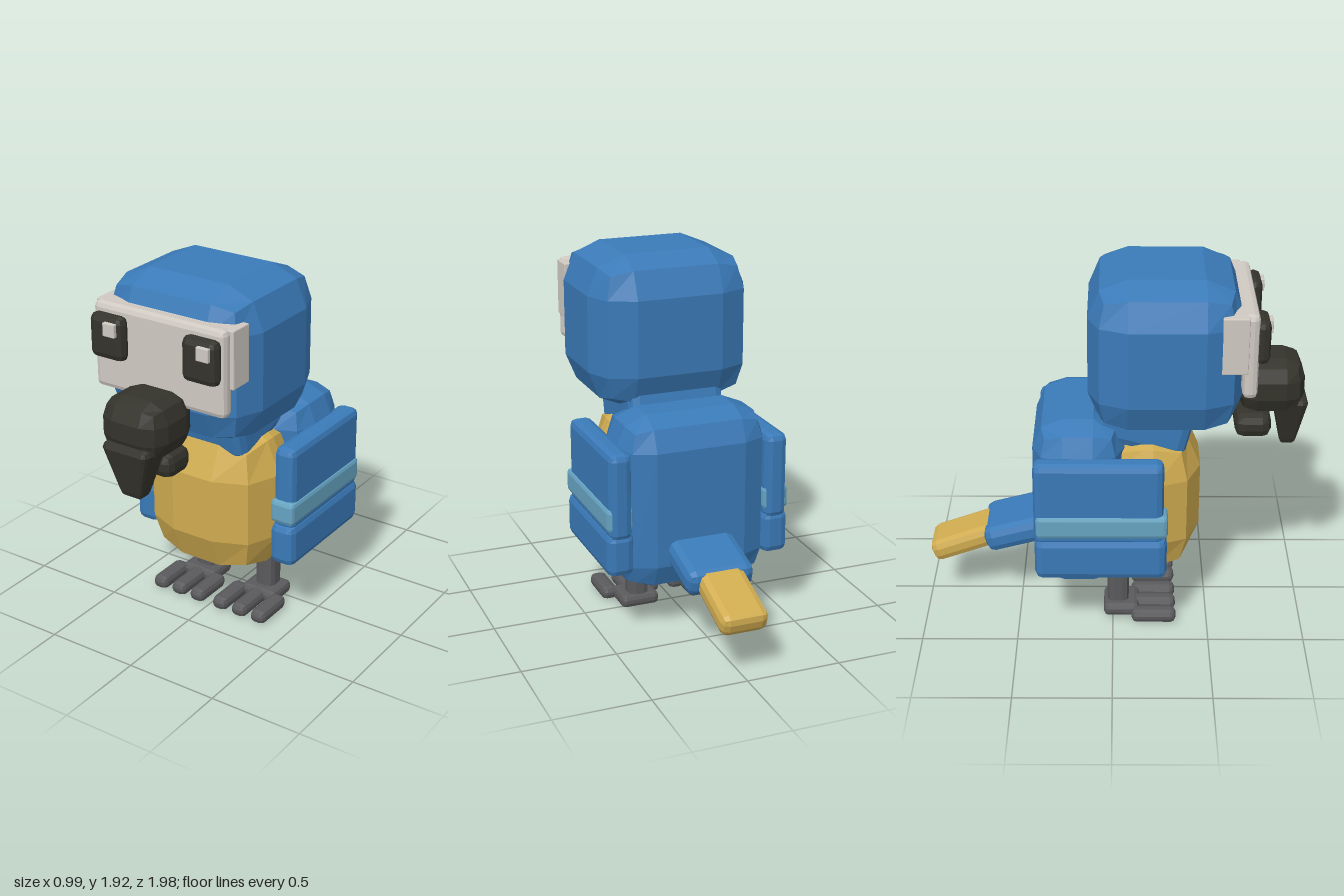
import * as THREE from 'three';
import { RoundedBoxGeometry } from 'three/addons/geometries/RoundedBoxGeometry.js';

const material = (name, color) => {
  const m = new THREE.MeshStandardMaterial({ color });
  m.name = name;
  return m;
};

export function createModel() {
  const model = new THREE.Group();
  model.name = 'bird';
  const blue = material('blue', 0x3a7ab8);
  const yellow = material('yellow', 0xd0ac50);
  const paleBlue = material('paleBlue', 0x66a4c2);
  const black = material('black', 0x34332b);
  const grey = material('lightGrey', 0xcfc9c2);
  const legGrey = material('darkGrey', 0x5a595c);

  // Faceted box from its extents [min, max] on each axis; shape moves vertices
  function block(name, mat, [x0, x1], [y0, y1], [z0, z1], r, shape) {
    const g = new RoundedBoxGeometry(x1 - x0, y1 - y0, z1 - z0, 1, r);
    if (shape) {
      const p = g.attributes.position;
      const v = new THREE.Vector3();
      for (let i = 0; i < p.count; i++) {
        shape(v.fromBufferAttribute(p, i));
        p.setXYZ(i, v.x, v.y, v.z);
      }
    }
    g.computeVertexNormals(); // non-indexed, so every facet is flat
    const mesh = new THREE.Mesh(g, mat);
    mesh.name = name;
    mesh.position.set((x0 + x1) / 2, (y0 + y1) / 2, (z0 + z1) / 2);
    model.add(mesh);
    return mesh;
  }
  const both = (w) => [-w, w];
  const side = (s, a, b) => (s > 0 ? [a, b] : [-b, -a]);

  // Head, neck and body
  block('head', blue, both(0.43), [1.115, 1.917], [-0.127, 0.655], 0.2);
  block('neck', blue, both(0.26), [0.99, 1.25], [-0.1, 0.4], 0.05).rotation.x = 0.25;
  block('back', blue, both(0.4), [0.232, 1.167], [-0.412, 0.06], 0.16);
  block('belly', yellow, both(0.37), [0.245, 1.09], [-0.1, 0.455], 0.25);

  // Face
  block('faceBand', grey, both(0.4), [1.487, 1.783], [0.53, 0.66], 0.005);
  block('facePlate', grey, both(0.382), [1.345, 1.79], [0.637, 0.712], 0.028);
  for (const s of [-1, 1]) {
    block('eye', black, side(s, 0.17, 0.37), [1.52, 1.75], [0.69, 0.768], 0.035);
    const gx = s > 0 ? 0.272 : -0.27;
    block('eyeGlint', grey, [gx, gx + 0.07], [1.653, 1.722], [0.74, 0.785], 0.004);
  }

  // Beak
  block('upperBeak', black, both(0.18), [1.14, 1.433], [0.635, 0.978], 0.1);
  block('beakTip', black, both(0.135), [0.932, 1.22], [0.82, 1.0], 0.03, (v) => {
    const t = Math.min(1, Math.max(0, (0.11 - v.y) / 0.254));
    v.x *= 1 - 0.58 * t;
    v.z *= 1 - 0.58 * t;
  });
  block('lowerBeak', black, both(0.135), [0.997, 1.127], [0.63, 0.817], 0.045);

  // Wings in three layers
  for (const s of [-1, 1]) {
    block('upperWing', blue, side(s, 0.365, 0.485), [0.56, 1.022], [-0.402, 0.258], 0.035);
    block('wingBand', paleBlue, side(s, 0.36, 0.497), [0.608, 0.735], [-0.392, 0.28], 0.022);
    block('lowerWing', blue, side(s, 0.355, 0.497), [0.365, 0.597], [-0.4, 0.277], 0.038);
  }

  // Tail
  block('tailBase', blue, both(0.18), [0.367, 0.507], [-0.69, -0.29], 0.045).rotation.x = -0.26;
  block('tailTip', yellow, both(0.125), [0.288, 0.408], [-0.987, -0.587], 0.04).rotation.x = -0.34;

  // Legs and feet
  for (const s of [-1, 1]) {
    block('leg', legGrey, side(s, 0.138, 0.252), [0.03, 0.36], [-0.03, 0.085], 0.035);
    block('foot', legGrey, side(s, 0.09, 0.3), [0.005, 0.075], [-0.048, 0.14], 0.025);
    for (const i of [-1, 0, 1]) {
      const c = s * 0.195 + i * 0.121;
      block('toe', legGrey, [c - 0.044, c + 0.044], [0, 0.072], [0.1, 0.335], 0.028);
    }
  }
  return model;
}
